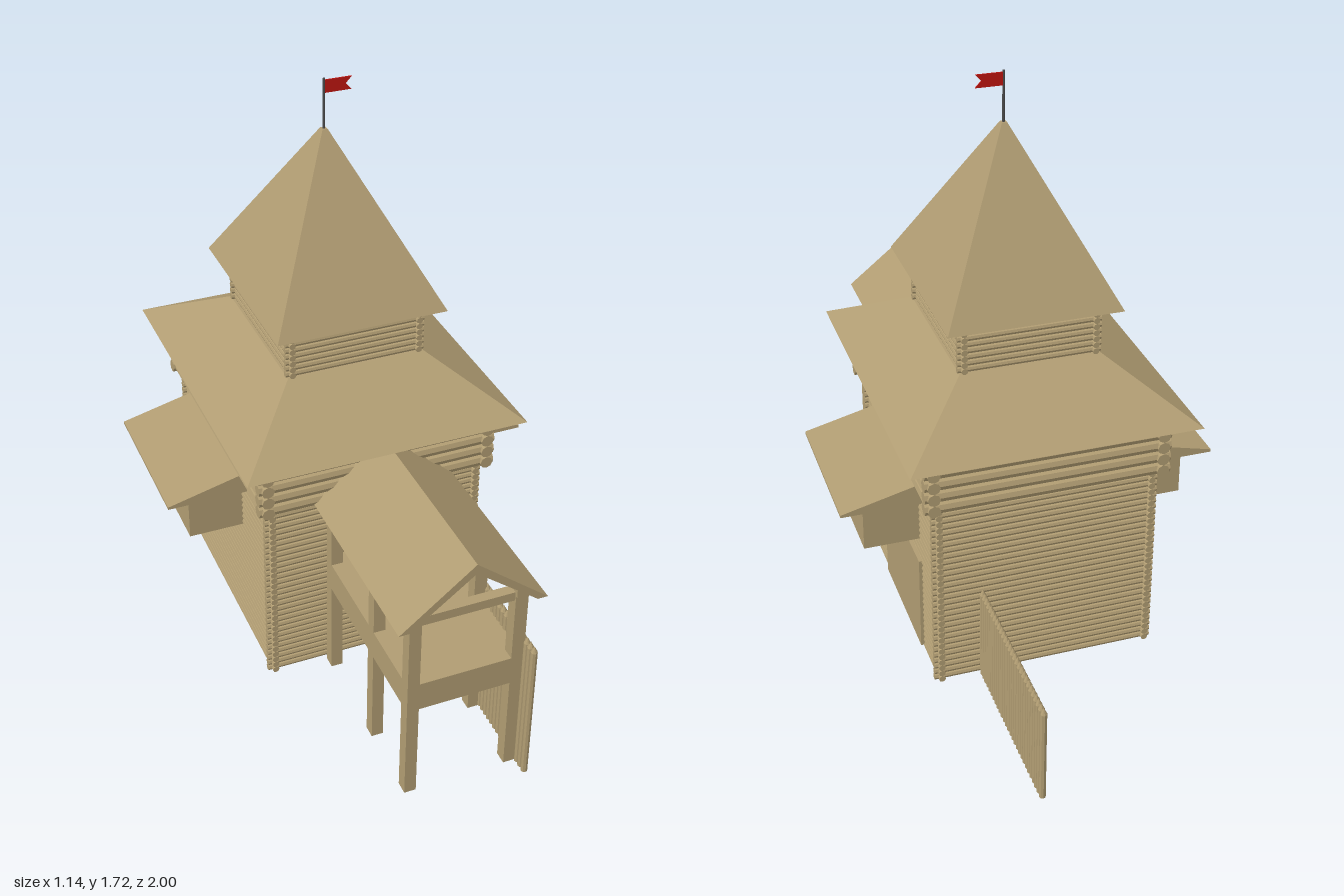
import * as THREE from 'three';
import { mergeGeometries } from 'three/addons/utils/BufferGeometryUtils.js';

const CZ = -0.05; // tower centre along z
const wood = new THREE.MeshStandardMaterial({ color: 0xb09c72, flatShading: true });
const red = new THREE.MeshStandardMaterial({ color: 0xc01510, side: THREE.DoubleSide });
const iron = new THREE.MeshStandardMaterial({ color: 0x4a4a4a });

export function createModel() {
  const model = new THREE.Group();
  model.name = 'watchtower';

  const add = (name, geometry, material = wood, parent = model) => {
    const mesh = new THREE.Mesh(geometry, material);
    mesh.name = name;
    parent.add(mesh);
    return mesh;
  };

  // Box given by its limits on each axis
  const box = (name, x0, x1, y0, y1, z0, z1, parent = model) => {
    const g = new THREE.BoxGeometry(x1 - x0, y1 - y0, z1 - z0);
    g.translate((x0 + x1) / 2, (y0 + y1) / 2, (z0 + z1) / 2);
    return add(name, g, wood, parent);
  };

  // Hollow storey of stacked round logs whose ends cross at the corners
  const logStorey = (name, hx, hz, y0, y1, count, overlap) => {
    const r = (y1 - y0) / count / 2;
    const logs = [];
    for (let i = 0; i < count; i++) {
      const y = y0 + r * (2 * i + 1);
      for (const s of [-1, 1]) {
        const alongX = new THREE.CylinderGeometry(r, r, 2 * hx, 8).rotateZ(Math.PI / 2);
        logs.push(alongX.translate(0, y, CZ + s * (hz - overlap)));
        const alongZ = new THREE.CylinderGeometry(r, r, 2 * hz, 8).rotateX(Math.PI / 2);
        logs.push(alongZ.translate(s * (hx - overlap), y, CZ));
      }
    }
    add(name, mergeGeometries(logs));
  };

  // Four-sided roof, tapering to a share of its base
  const hipRoof = (name, hx, hz, y0, y1, taper) => {
    const g = new THREE.CylinderGeometry(Math.SQRT2 * taper, Math.SQRT2, y1 - y0, 4);
    g.rotateY(Math.PI / 4).scale(hx, 1, hz).translate(0, (y0 + y1) / 2, CZ);
    add(name, g);
  };

  // Extrude an x-y outline from z0 to z1
  const prism = (name, points, z0, z1, material = wood, parent = model) => {
    const shape = new THREE.Shape(points.map(([x, y]) => new THREE.Vector2(x, y)));
    const g = new THREE.ExtrudeGeometry(shape, { depth: z1 - z0, bevelEnabled: false });
    return add(name, g.translate(0, 0, z0), material, parent);
  };

  // Tower storeys and roofs
  logStorey('lowerLogWalls', 0.34, 0.41, 0, 0.61, 30, 0.02);
  logStorey('overhangingLogWalls', 0.365, 0.437, 0.605, 0.795, 5, 0.025);
  hipRoof('skirtRoof', 0.425, 0.51, 0.793, 0.937, 0.493);
  logStorey('lookoutLogWalls', 0.213, 0.255, 0.935, 1.09, 8, 0.018);
  hipRoof('spireRoof', 0.257, 0.305, 1.087, 1.567, 0.03);

  // Pole and swallow-tailed flag
  const pole = new THREE.CylinderGeometry(0.004, 0.004, 0.16, 8);
  add('flagPole', pole.translate(0, 1.635, CZ), iron);
  prism('flag', [[0, 1.672], [0.082, 1.672], [0.064, 1.691], [0.082, 1.71], [0, 1.71]],
    CZ - 0.002, CZ + 0.002, red);

  // Bays with lean-to roofs on both sides
  for (const s of [-1, 1]) {
    const bay = new THREE.Group();
    bay.name = s > 0 ? 'leftBay' : 'rightBay';
    model.add(bay);
    box('bayBox', Math.min(s * 0.32, s * 0.495), Math.max(s * 0.32, s * 0.495),
      0.387, 0.545, -0.268, 0.108, bay);
    prism('bayRoof', [[0.325, 0.543], [0.57, 0.543], [0.57, 0.551], [0.325, 0.612]]
      .map(([x, y]) => [s * x, y]), -0.318, 0.157, wood, bay);
  }

  // Wide door panel on the left side
  box('sideDoor', 0.318, 0.338, 0.01, 0.32, -0.29, 0.113);

  // Porch: posts, tie beams, deck and gabled roof
  const porch = new THREE.Group();
  porch.name = 'porch';
  model.add(porch);
  const postX = [[-0.155, -0.12], [0.152, 0.19]];
  for (const z of [0.38, 0.693, 0.925]) {
    for (const [x0, x1] of postX) box('porchPost', x0, x1, 0, 0.63, z - 0.019, z + 0.019, porch);
    box('tieBeam', -0.155, 0.19, 0.597, 0.625, z - 0.015, z + 0.015, porch);
  }
  for (const [x0, x1] of postX) box('wallPlate', x0, x1, 0.613, 0.637, 0.36, 0.95, porch);
  box('porchDeck', -0.155, 0.19, 0.305, 0.395, 0.36, 0.944, porch);
  prism('porchRoof', [[-0.2, 0.615], [-0.17, 0.615], [0.015, 0.757], [0.2, 0.615],
    [0.23, 0.615], [0.015, 0.787]], 0.36, 0.975, wood, porch);

  // Palisades of pointed stakes
  const palisade = (name, z0, z1, height) => {
    const count = Math.round((z1 - z0) / 0.02);
    const step = (z1 - z0) / count;
    const r = step / 2;
    const tip = 0.02;
    const stakes = [];
    for (let i = 0; i < count; i++) {
      const z = z0 + (i + 0.5) * step;
      stakes.push(
        new THREE.CylinderGeometry(r, r, height - tip, 8).translate(0.194, (height - tip) / 2, z),
        new THREE.ConeGeometry(r, tip, 8).translate(0.194, height - tip / 2, z));
    }
    add(name, mergeGeometries(stakes));
  };
  palisade('frontPalisade', 0.36, 1, 0.463);
  palisade('backPalisade', -1, -0.45, 0.308);

  return model;
}
